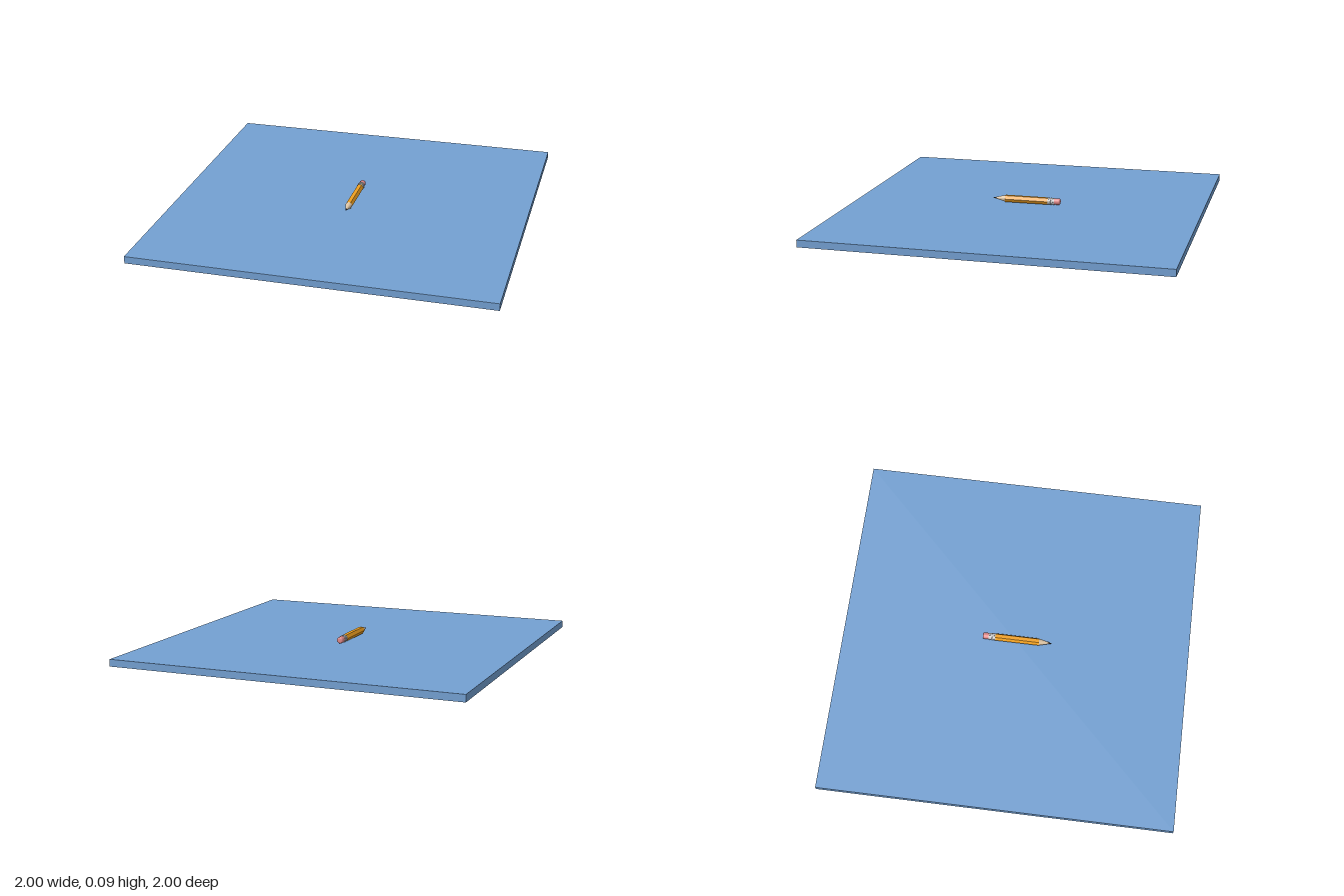
import * as THREE from 'three';

const material = (color, flatShading = false) => {
  const m = new THREE.MeshStandardMaterial({ color, flatShading });
  return m;
};

function add(group, name, geometry, mat) {
  const mesh = new THREE.Mesh(geometry, mat);
  mesh.name = name;
  group.add(mesh);
  return mesh;
}

// Tapered section along z, from z0 (radius r0) to z1 (radius r1)
function section(z0, z1, r0, r1, sides = 32) {
  return new THREE.CylinderGeometry(r1, r0, z1 - z0, sides, 1, false, Math.PI / 6)
    .rotateX(Math.PI / 2)
    .translate(0, 0, (z0 + z1) / 2);
}

export function createModel() {
  const model = new THREE.Group();

  // Square slab
  add(model, 'slab', new THREE.BoxGeometry(2, 0.04, 2).translate(0, 0.02, 0), material(0x73a0d2));

  // Pencil lying along z, tip to the front
  const pencil = new THREE.Group();
  pencil.name = 'pencil';
  pencil.position.y = 0.066;
  model.add(pencil);

  add(pencil, 'barrel', section(-0.12, 0.135, 0.0215, 0.0215, 6), material(0xf0a020, true));
  add(pencil, 'sharpenedWood', section(0.135, 0.19, 0.0195, 0.0055), material(0xdcc4a4));
  add(pencil, 'lead', section(0.19, 0.21, 0.0055, 0.0008), material(0x333333));

  // Metal ferrule with raised rings
  const metal = material(0xcccccc);
  add(pencil, 'ferrule', section(-0.157, -0.117, 0.0195, 0.0195), metal);
  for (const z of [-0.15, -0.137, -0.124]) {
    add(pencil, 'ferruleRing', new THREE.TorusGeometry(0.0195, 0.0015, 8, 32).translate(0, 0, z), metal);
  }

  // Eraser with a rounded end
  const profile = [[0.0185, 0], [0.0185, 0.028], [0.0175, 0.032], [0.015, 0.0345], [0.011, 0.036], [0, 0.036]]
    .map(([r, y]) => new THREE.Vector2(r, y));
  add(pencil, 'eraser',
    new THREE.LatheGeometry(profile, 32).rotateX(-Math.PI / 2).translate(0, 0, -0.155),
    material(0xe08888));

  return model;
}
